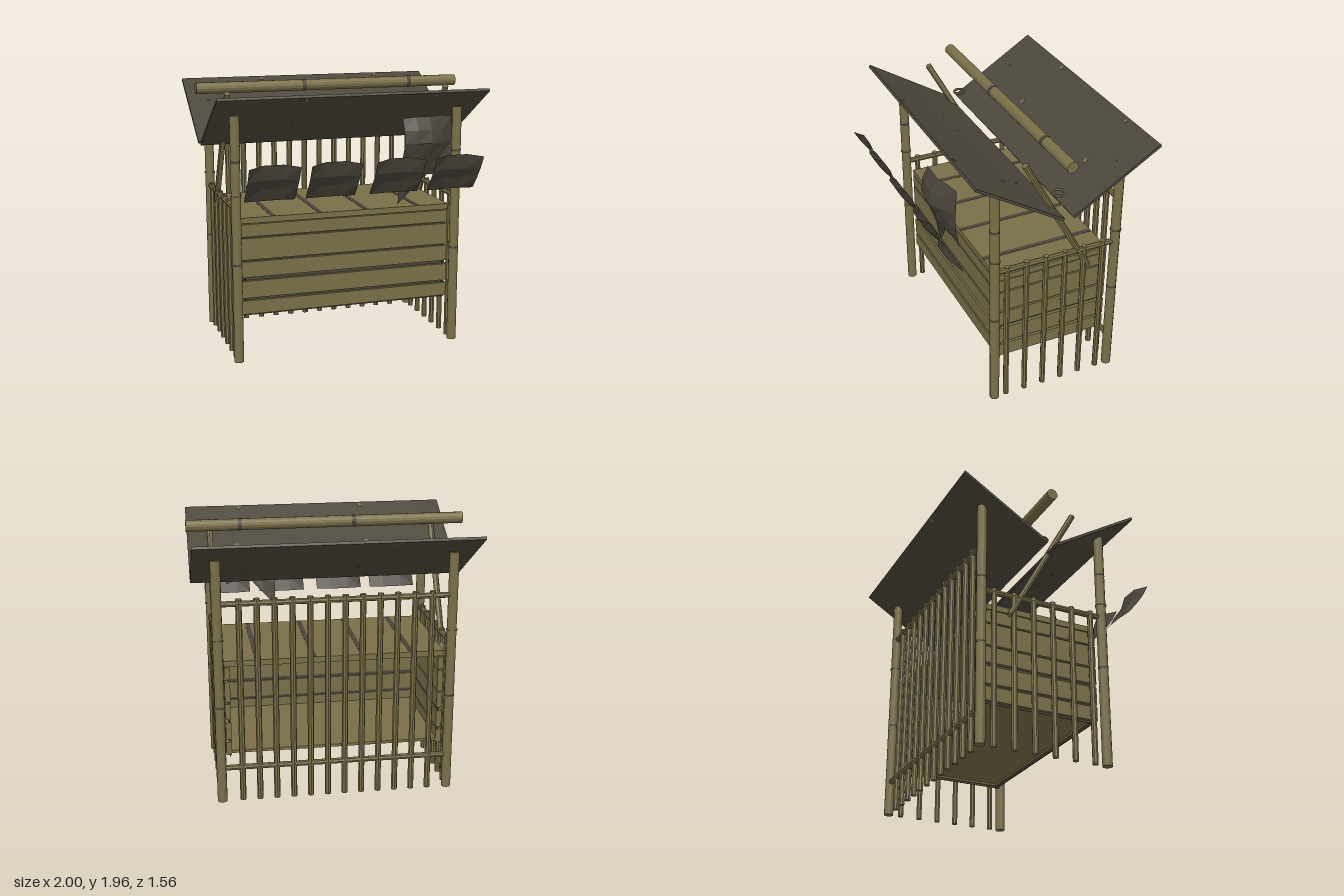
import * as THREE from 'three';

const mat = (name, color, side = THREE.FrontSide) => {
  const m = new THREE.MeshStandardMaterial({ color, side, flatShading: true });
  m.name = name;
  return m;
};

export function createModel() {
  const root = new THREE.Group();
  root.name = 'bambooStall';
  const bamboo = mat('bamboo olive', 0x796f48);
  const thatch = mat('roof brown', 0x4c473c);
  const seamMat = mat('dark seam', 0x4c443a);
  const clothMat = mat('cloth brown', 0x49443b, THREE.DoubleSide);

  const add = (name, geo, material, x = 0, y = 0, z = 0) => {
    const m = new THREE.Mesh(geo, material);
    m.name = name;
    m.position.set(x, y, z);
    root.add(m);
    return m;
  };
  const box = (name, w, h, d, x, y, z, material = bamboo) =>
    add(name, new THREE.BoxGeometry(w, h, d), material, x, y, z);
  // Round pole between two points
  const pole = (name, a, b, r, material = bamboo, sides = 10) => {
    const p = new THREE.Vector3(...a), q = new THREE.Vector3(...b);
    const m = add(name, new THREE.CylinderGeometry(r, r, p.distanceTo(q), sides), material);
    m.position.copy(p).add(q).multiplyScalar(0.5);
    m.quaternion.setFromUnitVectors(new THREE.Vector3(0, 1, 0), q.sub(p).normalize());
    return m;
  };
  // Flat-shaded sheet from rows of [x, y, z] points
  const sheet = (name, rows) => {
    const n = rows[0].length, idx = [];
    for (let r = 0; r < rows.length - 1; r++)
      for (let c = 0; c < n - 1; c++) {
        const a = r * n + c, b = a + n;
        idx.push(a, b, a + 1, a + 1, b, b + 1);
      }
    const g = new THREE.BufferGeometry();
    g.setAttribute('position', new THREE.Float32BufferAttribute(rows.flat(2), 3));
    g.setIndex(idx);
    g.computeVertexNormals();
    return add(name, g, clothMat);
  };

  const X = 0.825, ZF = 0.367, ZB = -0.567;

  // Corner posts with joint rings
  for (const x of [-X, X])
    for (const z of [ZF, ZB]) {
      pole('cornerPost', [x, 0, z], [x, 1.776, z], 0.035, bamboo, 12);
      pole('postRing', [x, 1.207, z], [x, 1.215, z], 0.041, bamboo, 12);
      pole('postJoint', [x, 0.713, z], [x, 0.727, z], 0.036, seamMat, 12);
      if (z === ZF) pole('postJoint', [x, 1.447, z], [x, 1.463, z], 0.036, seamMat, 12);
    }

  // Back fence
  for (let i = 0; i < 12; i++) {
    const x = -0.68 + i * 0.1232;
    pole('backBar', [x, 0, ZB], [x, 1.5, ZB], 0.022, bamboo, 8);
  }
  for (const y of [0.255, 1.468])
    pole('backRail', [-X, y, ZB], [X, y, ZB], 0.021, bamboo, 8);

  // Side bars, rails and slanted braces
  for (const x of [-X, X]) {
    for (let i = 0; i < 6; i++) {
      const z = 0.275 - i * 0.149;
      pole('sideBar', [x, 0, z], [x, 1.142, z], 0.021, bamboo, 8);
    }
    pole('sideRail', [x, 1.115, ZF], [x, 1.115, ZB], 0.021, bamboo, 8);
    pole('slantedBrace', [x, 1.9, 0.153], [x, 0.972, -0.353], 0.022);
    const ring = add('braceLoop', new THREE.TorusGeometry(0.042, 0.009, 6, 14), bamboo, x, 1.63, -0.1);
    ring.rotation.x = Math.PI / 2;
  }

  // Board walls, open at the back, with dark strips set deep in the gaps
  const gaps = [[0.328, 0.015], [0.445, 0.02], [0.595, 0.027], [0.73, 0.014], [0.9, 0.012]];
  const T = 0.04;
  gaps.forEach(([y, h], i) => {
    const low = y + h / 2;
    const high = i < 4 ? gaps[i + 1][0] - gaps[i + 1][1] / 2 : 0.997;
    const mid = (low + high) / 2;
    box('frontBoard', 1.57, high - low, T, 0, mid, 0.33 - T / 2);
    box('frontSeam', 1.56, h, 0.006, 0, y, 0.303, seamMat);
    for (const s of [-1, 1]) {
      box('sideBoard', T, high - low, 0.86, s * (0.785 - T / 2), mid, -0.1);
      box('sideSeam', 0.006, h, 0.85, s * 0.758, y, -0.1, seamMat);
    }
  });

  // Floor and counter top
  box('floor', 1.49, 0.02, 0.82, 0, 0.36, -0.12);
  box('counterTop', 1.57, 0.042, 0.86, 0, 1.024, -0.1);
  for (const x of [-0.55, -0.2, 0.15, 0.55])
    box('counterSeam', 0.035, 0.004, 0.86, x, 1.045, -0.1, seamMat);

  // Two roof slabs sloping down to the middle, sagging slightly
  const slab = (name, zo, yo, zi, yi) => {
    const g = new THREE.Group();
    g.name = name;
    g.position.set(0, (yo + yi) / 2, (zo + zi) / 2);
    const len = Math.hypot(zo - zi, yo - yi), s = Math.sign(zo - zi);
    g.rotation.x = -s * Math.atan2(yo - yi, Math.abs(zo - zi));
    const sag = (x, z) => 0.016 * Math.cos(x * Math.PI / 1.968) * Math.cos(z * Math.PI / len);
    const geo = new THREE.BoxGeometry(1.968, 0.02, len, 8, 1, 6);
    const p = geo.attributes.position;
    for (let i = 0; i < p.count; i++) p.setY(i, p.getY(i) - sag(p.getX(i), p.getZ(i)));
    geo.computeVertexNormals();
    const board = new THREE.Mesh(geo, thatch);
    board.name = 'roofBoard';
    g.add(board);
    // Peg heads showing through the board
    for (const [x, t, r] of [[-0.36, -0.06, 0.018], [-0.18, -0.09, 0.01], [0.62, -0.06, 0.018],
      [0.58, -0.24, 0.01], [-0.36, 0.46, 0.018], [0.58, 0.46, 0.014]]) {
      const peg = new THREE.Mesh(new THREE.CylinderGeometry(r, r, 0.026, 8), bamboo);
      peg.name = 'roofPeg';
      peg.position.set(x, -sag(x, t * len), s * t * len);
      g.add(peg);
    }
    root.add(g);
  };
  slab('frontRoof', 0.57, 1.912, -0.065, 1.518);
  slab('backRoof', -0.773, 1.912, -0.135, 1.518);

  // Ridge pole with two dark joints
  pole('ridgePole', [-1, 1.915, -0.1], [1, 1.915, -0.1], 0.041, bamboo, 14);
  for (const x of [-0.2, 0.62])
    pole('ridgeJoint', [x - 0.014, 1.915, -0.1], [x + 0.014, 1.915, -0.1], 0.0425, seamMat, 14);

  // Four small hanging cloths, corners curling forward
  for (const x0 of [-0.645, -0.215, 0.247, 0.677]) {
    const rows = [[1.488, 0.735, 0.045], [1.38, 0.7, 0.03], [1.31, 0.645, 0.035], [1.22, 0.595, 0.012]];
    sheet('hangingCloth', rows.map(([y, z, curl]) => [-0.178, -0.07, 0.07, 0.178].map((x) => {
      const edge = Math.abs(x) > 0.1 ? 1 : 0;
      return [x0 + x, y - (y > 1.45 ? edge * 0.015 : 0), z + edge * curl];
    })));
  }

  // Large draped cloth with a trailing corner
  const xs = [0.305, 0.4, 0.5, 0.6, 0.69];
  const drape = [
    [[1.74, 1.75, 1.75, 1.75, 1.74], [0.62, 0.63, 0.63, 0.6, 0.575]],
    [[1.66, 1.66, 1.66, 1.66, 1.65], [0.66, 0.68, 0.68, 0.64, 0.58]],
    [[1.57, 1.57, 1.57, 1.57, 1.56], [0.675, 0.69, 0.7, 0.65, 0.585]],
    [[1.44, 1.44, 1.46, 1.46, 1.46], [0.625, 0.64, 0.645, 0.61, 0.59]],
    [[1.3, 1.32, 1.38, 1.38, 1.38], [0.575, 0.6, 0.61, 0.59, 0.575]],
    [[1.12, 1.22, 1.33, 1.33, 1.3], [0.545, 0.56, 0.585, 0.57, 0.56]],
  ];
  sheet('drapedCloth', drape.map(([ys, zs]) => xs.map((x, i) => [x, ys[i], zs[i]])));

  return root;
}
